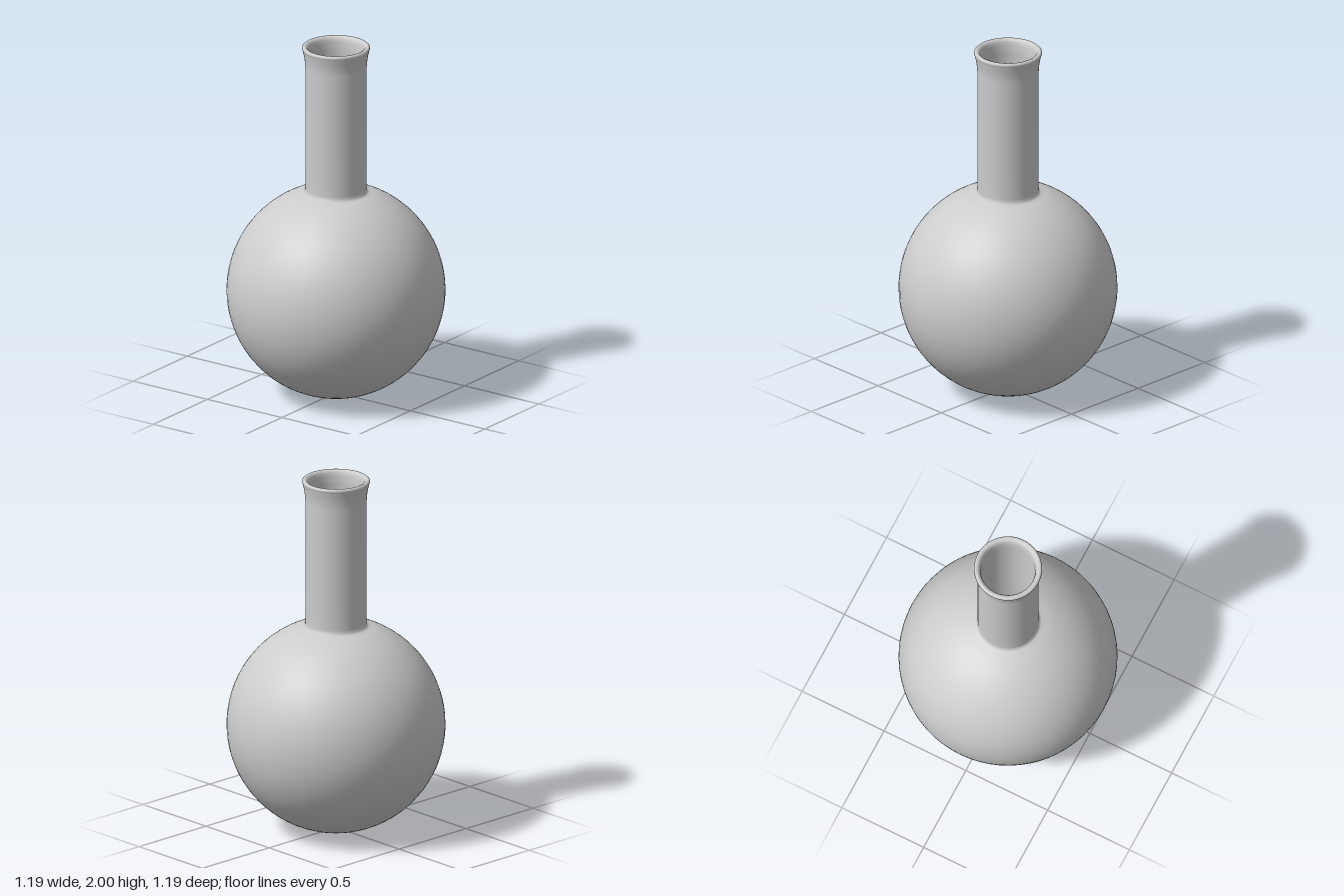
import * as THREE from 'three';

const SEGMENTS = 64;
const BODY_RADIUS = 0.595;
const WALL = 0.02;

// Points along a sphere's side, from the bottom pole up to the neck opening
function bowlProfile(radius, openingRadius, steps) {
  const end = Math.PI - Math.asin(openingRadius / radius);
  return Array.from({ length: steps + 1 }, (_, i) => {
    const a = (end * i) / steps;
    return new THREE.Vector2(radius * Math.sin(a), BODY_RADIUS - radius * Math.cos(a));
  });
}

const toPoints = (pairs) => pairs.map(([x, y]) => new THREE.Vector2(x, y));

export function createModel() {
  const glass = new THREE.MeshStandardMaterial({ color: 0xcccccc });
  const group = new THREE.Group();
  group.name = 'roundFlask';

  const addLathe = (name, points) => {
    const mesh = new THREE.Mesh(new THREE.LatheGeometry(points, SEGMENTS), glass);
    mesh.name = name;
    group.add(mesh);
  };

  // Outer wall: round body, shoulder, straight neck, flared lip
  const outer = [
    ...bowlProfile(BODY_RADIUS, 0.21, 40),
    ...toPoints([
      [0.18, 1.157], [0.169, 1.167], [0.167, 1.185], [0.167, 1.28], [0.167, 1.88],
      [0.169, 1.91], [0.174, 1.945], [0.182, 1.98],
    ]),
  ];

  // Rolled rim, turning over into the neck opening
  const rim = toPoints([
    [0.182, 1.98], [0.185, 1.986], [0.184, 1.994], [0.178, 1.999], [0.17, 2],
    [0.16, 1.996], [0.153, 1.985], [0.149, 1.965], [0.147, 1.93],
  ]);

  // Inner wall, running down the neck to the bottom of the hollow body
  const inner = [
    ...toPoints([[0.147, 1.93], [0.147, 1.28], [0.147, 1.17], [0.151, 1.15], [0.165, 1.14]]),
    ...bowlProfile(BODY_RADIUS - WALL, 0.2, 40).reverse(),
  ];

  addLathe('outerWall', outer);
  addLathe('rim', rim);
  addLathe('innerWall', inner);
  return group;
}
